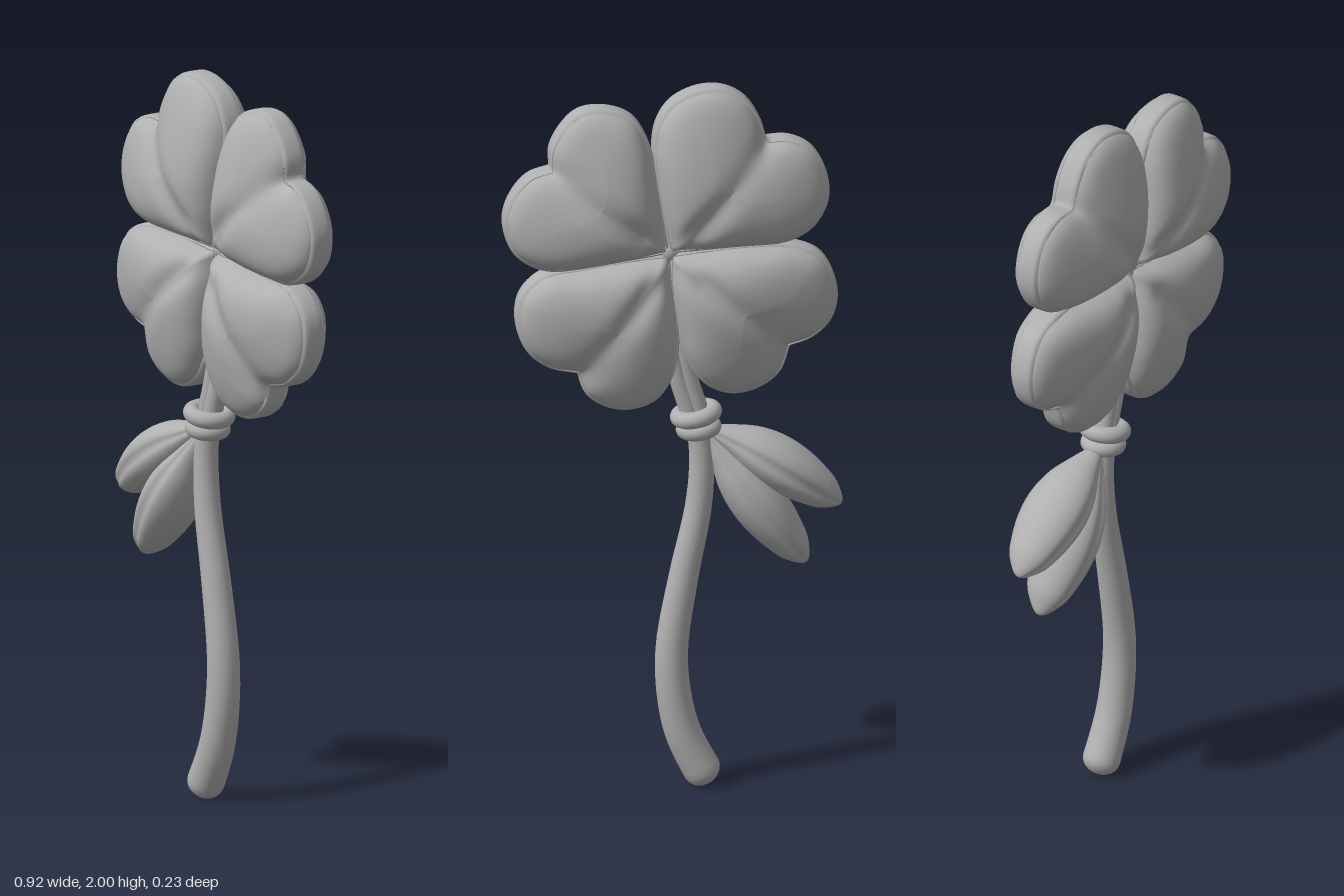
import * as THREE from 'three';

const grey = new THREE.MeshStandardMaterial({ color: 0xb0b0b0 });
grey.name = 'plain grey';

const HUB = [0.008, 1.53];

// Closed skin over a list of rings (each an array of [x, y, z])
function skin(rings) {
  const n = rings[0].length, index = [];
  for (let k = 0; k < rings.length - 1; k++) {
    for (let i = 0; i < n; i++) {
      const j = (i + 1) % n;
      const a = k * n + i, b = k * n + j, c = a + n, d = b + n;
      index.push(a, c, d, a, d, b);
    }
  }
  const geo = new THREE.BufferGeometry();
  geo.setAttribute('position', new THREE.Float32BufferAttribute(rings.flat(2), 3));
  geo.setIndex(index);
  geo.computeVertexNormals();
  return geo;
}

function spline(points) {
  return new THREE.CatmullRomCurve3(points.map(([x, y]) => new THREE.Vector3(x, y, 0)));
}

// Sweep a section along a path in the xy plane; section(t, angle) gives [across, z]
function sweep(points, section, steps = 48, sides = 24) {
  const curve = spline(points), rings = [];
  for (let k = 0; k <= steps; k++) {
    const t = (1 - Math.cos(Math.PI * k / steps)) / 2;
    const p = curve.getPointAt(t), d = curve.getTangentAt(t), ring = [];
    for (let i = 0; i < sides; i++) {
      const [u, v] = section(t, -2 * Math.PI * i / sides);
      ring.push([p.x - d.y * u, p.y + d.x * u, v]);
    }
    rings.push(ring);
  }
  return skin(rings);
}

// Radius tapering from r0 to r1 with rounded ends of relative length e
function roundTube(r0, r1, e) {
  return (t, a) => {
    const end = Math.min(1, Math.min(t, 1 - t) / e);
    const r = THREE.MathUtils.lerp(r0, r1, t) * Math.sqrt(1 - (1 - end) ** 2);
    return [r * Math.cos(a), r * Math.sin(a)];
  };
}

function segmentDistance(x, y, [ax, ay], [bx, by]) {
  const dx = bx - ax, dy = by - ay;
  const t = THREE.MathUtils.clamp(((x - ax) * dx + (y - ay) * dy) / (dx * dx + dy * dy), 0, 1);
  return Math.hypot(x - ax - t * dx, y - ay - t * dy);
}

// Puffed heart-shaped petal: two lobes meeting at the hub and at a notch
function petalGeometry(lobeA, notch, lobeB) {
  const outline = [];
  for (const pts of [[HUB, ...lobeA, notch], [notch, ...lobeB, HUB]]) {
    spline(pts).getSpacedPoints(56).slice(0, -1).forEach(p => outline.push([p.x, p.y]));
  }
  if (THREE.ShapeUtils.area(outline.map(([x, y]) => ({ x, y }))) < 0) outline.reverse();

  const ax = notch[0] - HUB[0], ay = notch[1] - HUB[1], len = Math.hypot(ax, ay);
  const px = HUB[0] + 0.6 * ax, py = HUB[1] + 0.6 * ay;

  // Fullest near the hub, thinning towards the outer edge, with a soft central crease
  function height(x, y) {
    let d = Infinity;
    outline.forEach((p, i) => {
      d = Math.min(d, segmentDistance(x, y, p, outline[(i + 1) % outline.length]));
    });
    d = Math.max(0, d - 0.008);
    const u = ((x - HUB[0]) * ax + (y - HUB[1]) * ay) / (len * len);
    const q = ((x - HUB[0]) * ay - (y - HUB[1]) * ax) / len;
    const r = Math.hypot(x - HUB[0], y - HUB[1]);
    const crown = 0.094 * (1 - 0.55 * THREE.MathUtils.smoothstep(r, 0.17, 0.5));
    const fade = THREE.MathUtils.clamp(u * 4, 0, 1) * THREE.MathUtils.clamp(1.1 - u, 0, 1);
    const crease = 0.03 * Math.exp(-((q / 0.035) ** 2)) * fade;
    return 0.03 + crown * (0.3 * (1 - Math.exp(-d / 0.01)) + 0.7 * (1 - Math.exp(-d / 0.045))) - crease;
  }

  // Pillow rings from the middle outwards, then the groove and the rim
  const front = [];
  const scaled = s => outline.map(([x, y]) => [px + (x - px) * s, py + (y - py) * s]);
  for (let k = 0; k <= 18; k++) {
    const s = 0.96 * Math.sin(Math.PI / 2 * k / 18);
    front.push(scaled(s).map(([x, y]) => [x, y, height(x, y)]));
  }
  for (const [s, z] of [[0.955, 0.034], [0.965, 0.03], [0.985, 0.029], [0.997, 0.022], [1, 0.01]]) {
    front.push(scaled(s).map(([x, y]) => [x, y, z]));
  }
  const back = front.map(r => r.map(([x, y, z]) => [x, y, -z])).reverse();
  return skin([...front, ...back]);
}

const PETALS = {
  upperRightPetal: [
    [[0.03, 1.63], [0.046, 1.73], [0.052, 1.82], [0.04, 1.90], [0, 1.96], [-0.07, 1.993], [-0.14, 1.993], [-0.20, 1.96], [-0.24, 1.90]],
    [-0.257, 1.84],
    [[-0.32, 1.84], [-0.38, 1.81], [-0.42, 1.74], [-0.425, 1.66], [-0.39, 1.59], [-0.34, 1.555], [-0.28, 1.54], [-0.18, 1.536], [-0.07, 1.533]]],
  upperLeftPetal: [
    [[0.02, 1.63], [0.038, 1.74], [0.062, 1.85], [0.105, 1.92], [0.175, 1.95], [0.25, 1.945], [0.30, 1.90], [0.33, 1.84]],
    [0.33, 1.785],
    [[0.39, 1.765], [0.437, 1.71], [0.457, 1.64], [0.437, 1.56], [0.39, 1.515], [0.325, 1.493], [0.22, 1.498], [0.11, 1.513]]],
  lowerLeftPetal: [
    [[0.11, 1.523], [0.245, 1.505], [0.35, 1.487], [0.41, 1.43], [0.422, 1.35], [0.395, 1.27], [0.335, 1.22]],
    [0.255, 1.20],
    [[0.235, 1.14], [0.18, 1.10], [0.115, 1.088], [0.045, 1.11], [0, 1.17], [-0.019, 1.25], [-0.017, 1.34], [-0.004, 1.45]]],
  lowerRightPetal: [
    [[0.006, 1.42], [-0.012, 1.32], [-0.04, 1.22], [-0.09, 1.15], [-0.16, 1.12], [-0.24, 1.135], [-0.295, 1.18]],
    [-0.32, 1.25],
    [[-0.38, 1.27], [-0.43, 1.315], [-0.45, 1.385], [-0.435, 1.46], [-0.40, 1.51], [-0.32, 1.542], [-0.20, 1.547], [-0.10, 1.541]]],
};

// Plump leaflet section, creased along the middle of both faces
const leafWidth = new THREE.SplineCurve([[0, 0.012], [0.17, 0.036], [0.33, 0.062], [0.5, 0.073], [0.67, 0.069], [0.83, 0.053], [1, 0.03]]
  .map(([x, y]) => new THREE.Vector2(x, y)));
function leafSection(t, a) {
  const tip = Math.min(1, (1 - t) / 0.14);
  const w = leafWidth.getPoint(t).y * Math.sqrt(1 - (1 - tip) ** 2) * Math.min(1, t / 0.02);
  const crease = 1 - 0.13 * Math.exp(-((Math.cos(a) / 0.18) ** 2));
  return [w * Math.cos(a), 1.25 * w * Math.sin(a) * crease];
}

export function createModel() {
  const model = new THREE.Group();
  model.name = 'cloverFlower';
  const add = (name, geometry) => {
    const mesh = new THREE.Mesh(geometry, grey);
    mesh.name = name;
    model.add(mesh);
    return mesh;
  };

  for (const [name, parts] of Object.entries(PETALS)) add(name, petalGeometry(...parts));

  // Small filler where the petals meet
  const hub = add('petalHub', new THREE.SphereGeometry(0.035, 24, 16));
  hub.position.set(...HUB, 0);

  // Curved stem up to the knot
  add('stem', sweep([[-0.105, 0.008], [-0.075, 0.06], [-0.03, 0.16], [-0.006, 0.28], [-0.003, 0.4], [-0.035, 0.6],
    [-0.075, 0.8], [-0.083, 0.93], [-0.07, 1.06]], roundTube(0.052, 0.031, 0.04)));

  // Two strands from the knot to the petals
  for (const [name, dx] of [['leftStrand', 0.013], ['rightStrand', -0.013]]) {
    add(name, sweep([[-0.075 + dx, 1.0], [-0.062 + dx, 1.07], [-0.035 + dx, 1.16], [-0.012 + dx, 1.28],
      [0.004, 1.45]], roundTube(0.027, 0.024, 0.05), 24, 16));
  }

  // Wrapped knot
  for (const [name, x, y, r, tilt] of [['upperKnotRing', -0.068, 1.06, 0.048, -0.2], ['lowerKnotRing', -0.075, 1.02, 0.039, -0.12]]) {
    const ring = add(name, new THREE.TorusGeometry(r, 0.023, 16, 40).rotateX(Math.PI / 2));
    ring.position.set(x, y, 0);
    ring.rotation.z = tilt;
  }

  // Pair of leaflets hanging from the knot
  add('upperLeaflet', sweep([[-0.09, 1.02], [-0.2, 0.965], [-0.31, 0.895], [-0.462, 0.785]], leafSection, 40, 40));
  add('lowerLeaflet', sweep([[-0.095, 1.01], [-0.15, 0.925], [-0.225, 0.815], [-0.367, 0.622]], leafSection, 40, 40));

  return model;
}
